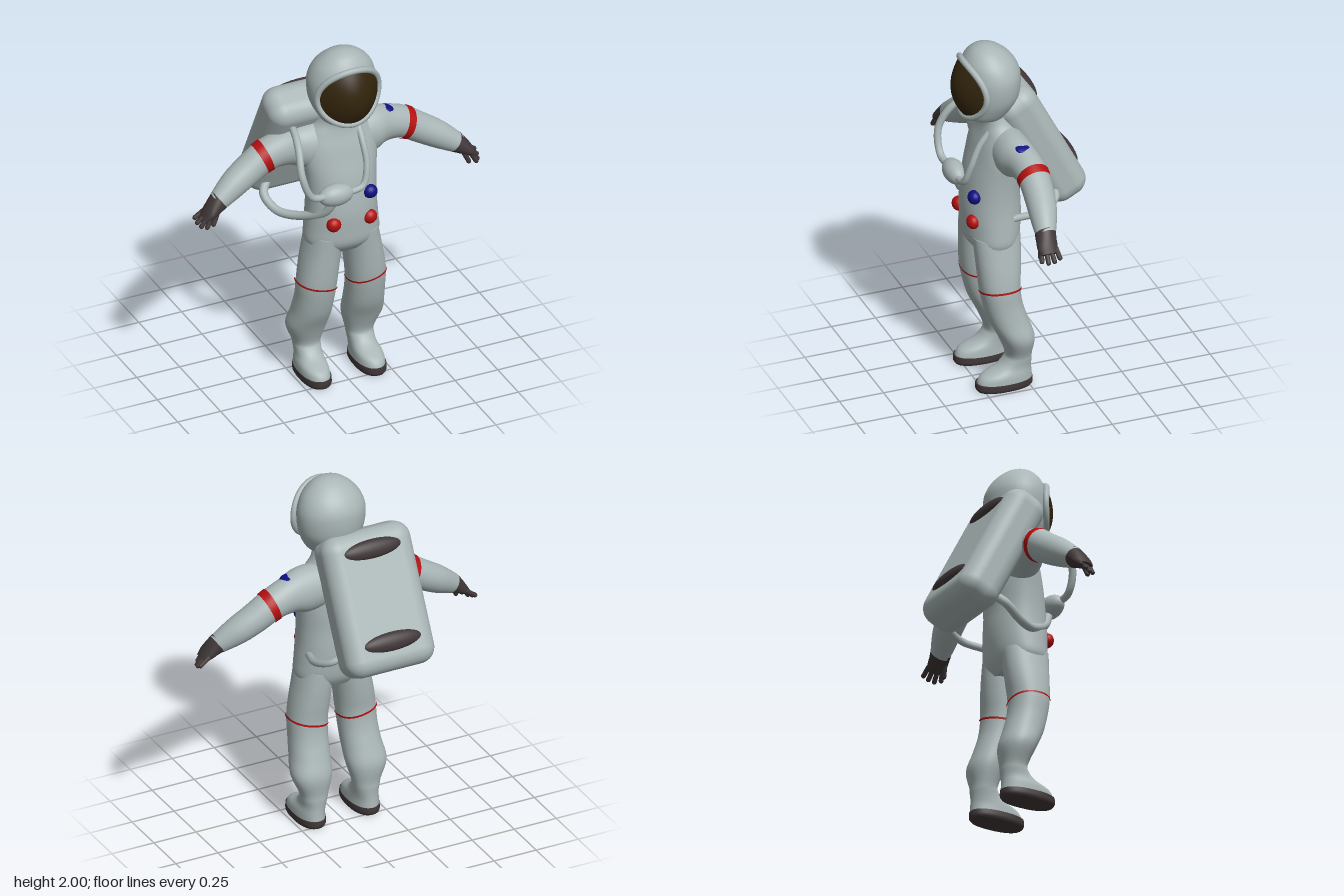
import * as THREE from 'three';
import { RoundedBoxGeometry } from 'three/addons/geometries/RoundedBoxGeometry.js';

const mat = (name, color) => Object.assign(new THREE.MeshStandardMaterial({ color }), { name });

// Smoothly interpolated cross-section; ring = [x, y, z, depth radius, width radius, direction in degrees]
function sample(rings, t) {
  const n = rings.length - 1, f = t * n, i = Math.min(Math.floor(f), n - 1), k = f - i;
  const at = (j) => rings[Math.max(0, Math.min(n, j))];
  return rings[i].map((b, q) => {
    const a = at(i - 1)[q], c = at(i + 1)[q], d = at(i + 2)[q];
    return b + 0.5 * k * (c - a + k * (2 * a - 5 * b + 4 * c - d + k * (3 * (b - c) + d - a)));
  });
}

// Skin over oval cross-sections, with optional flat end caps
function loft(rings, { from = 0, to = 1, grow = 0, caps = true, power = 1, steps = (rings.length - 1) * 4 } = {}) {
  const N = 40, pos = [], idx = [];
  const bend = (v) => Math.sign(v) * Math.abs(v) ** power;
  const addRing = (t) => {
    const [x, y, z, rz, rw, deg] = sample(rings, t), a = THREE.MathUtils.degToRad(deg);
    for (let j = 0; j < N; j++) {
      const s = (j / N) * Math.PI * 2, w = (rw + grow) * bend(Math.sin(s));
      pos.push(x + Math.sin(a) * w, y - Math.cos(a) * w, z + (rz + grow) * bend(Math.cos(s)));
    }
  };
  for (let i = 0; i <= steps; i++) addRing(from + (to - from) * i / steps);
  for (let i = 0; i < steps; i++) for (let j = 0; j < N; j++) {
    const a = i * N + j, b = i * N + (j + 1) % N;
    idx.push(a, b, a + N, b, b + N, a + N);
  }
  if (caps) for (const t of [from, to]) {
    const start = pos.length / 3;
    addRing(t);
    pos.push(...sample(rings, t).slice(0, 3));
    for (let j = 0; j < N; j++) {
      const a = start + j, b = start + (j + 1) % N;
      idx.push(start + N, ...(t === from ? [b, a] : [a, b]));
    }
  }
  const g = new THREE.BufferGeometry();
  g.setAttribute('position', new THREE.Float32BufferAttribute(pos, 3));
  g.setIndex(idx);
  g.computeVertexNormals();
  return g;
}

// Upright section: height, x, z, depth radius, width radius
const up = ([y, x, z, rz, rw]) => [x, y, z, rz, rw, 90];
const mirror = (rings, s) => rings.map(([x, y, z, rz, rw, a]) => [x * s, y, z, rz, rw, s > 0 ? a : 180 - a]);

export function createModel() {
  const model = new THREE.Group();
  model.name = 'astronaut';
  const suit = mat('suitGrey', 0xaab6b6), dark = mat('darkGrey', 0x403737), red = mat('red', 0xb50f0f);
  const blue = mat('blue', 0x0f0f85), gold = mat('visorBrown', 0x33250c);

  const add = (name, geo, material, parent = model) => {
    const m = new THREE.Mesh(geo, material);
    m.name = name;
    parent.add(m);
    return m;
  };
  const ball = (name, p, r, material, parent) => {
    const m = add(name, new THREE.SphereGeometry(1, 32, 20), material, parent);
    m.position.set(...p);
    m.scale.set(...r);
    return m;
  };
  const tube = (name, pts, r) => add(name, new THREE.TubeGeometry(
    new THREE.CatmullRomCurve3(pts.map((p) => new THREE.Vector3(...p))), 48, r, 12), suit);

  // Torso and neck
  add('torso', loft([
    [0.8, 0, 0.15, 0.1, 0.165], [0.86, 0, 0.153, 0.14, 0.208], [0.95, 0, 0.15, 0.152, 0.204],
    [1.05, 0, 0.15, 0.155, 0.195], [1.15, 0, 0.148, 0.147, 0.194], [1.25, 0, 0.14, 0.14, 0.2],
    [1.35, 0, 0.13, 0.125, 0.21], [1.43, 0, 0.12, 0.115, 0.205], [1.5, 0, 0.115, 0.1, 0.175],
    [1.56, 0, 0.12, 0.09, 0.125], [1.64, 0, 0.14, 0.09, 0.1],
  ].map(up), { power: 0.92 }), suit);

  // Helmet shell
  add('helmet', loft([
    [1.575, 0, 0.17, 0.09, 0.09], [1.6, 0, 0.18, 0.12, 0.125], [1.66, 0, 0.166, 0.144, 0.16],
    [1.72, 0, 0.154, 0.158, 0.181], [1.8, 0, 0.15, 0.161, 0.189], [1.86, 0, 0.151, 0.154, 0.18],
    [1.92, 0, 0.16, 0.13, 0.15], [1.97, 0, 0.17, 0.085, 0.097], [1.993, 0, 0.174, 0.042, 0.048],
    [2, 0, 0.175, 0.006, 0.006],
  ].map(up)), suit);

  // Curved visor and its rim
  const visorPoint = (x, y) => [0.17 * x, 1.765 + 0.155 * y, 0.362 - 0.115 * x * x - 0.055 * y * y];
  const visor = new THREE.RingGeometry(0, 1, 48, 12);
  const vp = visor.attributes.position;
  for (let i = 0; i < vp.count; i++) vp.setXYZ(i, ...visorPoint(vp.getX(i), vp.getY(i)));
  visor.computeVertexNormals();
  add('visor', visor, gold);
  const rim = Array.from({ length: 32 }, (_, i) => {
    const a = (i / 32) * Math.PI * 2;
    return new THREE.Vector3(...visorPoint(1.05 * Math.cos(a), 1.05 * Math.sin(a)));
  });
  add('visorRim', new THREE.TubeGeometry(new THREE.CatmullRomCurve3(rim, true), 96, 0.017, 10, true), suit);

  const armRings = [
    [0.05, 1.42, 0.095, 0.1, 0.12, 0], [0.2, 1.41, 0.09, 0.105, 0.13, -8], [0.3, 1.41, 0.07, 0.09, 0.102, -14],
    [0.4, 1.385, 0.06, 0.085, 0.088, -20], [0.5, 1.325, 0.065, 0.082, 0.082, -28],
    [0.6, 1.265, 0.08, 0.075, 0.075, -29], [0.7, 1.2, 0.105, 0.055, 0.055, -33],
  ];
  const palmRings = [
    [0.685, 1.21, 0.103, 0.058, 0.058, -36], [0.72, 1.184, 0.112, 0.056, 0.046, -40],
    [0.755, 1.155, 0.118, 0.056, 0.032, -42], [0.785, 1.13, 0.118, 0.046, 0.018, -44],
  ];
  const legRings = [
    [0.035, 0.16, 0.13, 0.154, 0.078], [0.08, 0.16, 0.12, 0.14, 0.076], [0.12, 0.156, 0.078, 0.097, 0.07],
    [0.16, 0.155, 0.055, 0.076, 0.073], [0.2, 0.155, 0.05, 0.071, 0.08], [0.3, 0.162, 0.065, 0.095, 0.112],
    [0.4, 0.153, 0.105, 0.105, 0.108], [0.5, 0.147, 0.135, 0.105, 0.105], [0.6, 0.142, 0.15, 0.109, 0.107],
    [0.7, 0.13, 0.15, 0.118, 0.105], [0.8, 0.115, 0.15, 0.125, 0.1], [0.9, 0.1, 0.153, 0.13, 0.095],
  ].map(up);
  const soleRings = [
    [0, 0.16, 0.132, 0.15, 0.073], [0.015, 0.16, 0.132, 0.158, 0.08], [0.045, 0.16, 0.132, 0.157, 0.079],
  ].map(up);
  const stripeRings = [[0.145, 0.582, 0.148, 0.108, 0.111, 102], [0.143, 0.593, 0.149, 0.109, 0.111, 102]];
  // Finger start and tip, thumb last
  const fingers = [
    [[0.765, 1.15, 0.075], [0.815, 1.115, 0.072]], [[0.77, 1.14, 0.103], [0.815, 1.1, 0.102]],
    [[0.77, 1.135, 0.13], [0.805, 1.09, 0.132]], [[0.76, 1.14, 0.155], [0.785, 1.095, 0.162]],
    [[0.715, 1.165, 0.145], [0.745, 1.1, 0.155]],
  ];

  for (const [side, s] of [['left', 1], ['right', -1]]) {
    // Sleeve, band and glove
    const arm = mirror(armRings, s);
    add(side + 'Arm', loft(arm), suit);
    add(side + 'ArmBand', loft(arm, { from: 0.492, to: 0.555, grow: 0.004, caps: false, steps: 6 }), red);
    const glove = new THREE.Group();
    glove.name = side + 'Glove';
    model.add(glove);
    add('palm', loft(mirror(palmRings, s)), dark, glove);
    fingers.forEach(([a, b], i) => {
      const p = new THREE.Vector3(a[0] * s, a[1], a[2]), q = new THREE.Vector3(b[0] * s, b[1], b[2]);
      const f = add(i < 4 ? 'finger' : 'thumb', new THREE.CapsuleGeometry(0.013, p.distanceTo(q), 6, 12), dark, glove);
      f.position.copy(p).lerp(q, 0.5);
      f.quaternion.setFromUnitVectors(new THREE.Vector3(0, 1, 0), q.sub(p).normalize());
    });
    // Leg, knee stripe and sole
    add(side + 'Leg', loft(mirror(legRings, s), { power: 0.9 }), suit);
    add(side + 'KneeStripe', loft(mirror(stripeRings, s), { grow: 0.003, caps: false, power: 0.9 }), red);
    add(side + 'Sole', loft(mirror(soleRings, s), { power: 0.85 }), dark);
    ball(side + 'RedButton', [0.105 * s, 1.0, 0.285], [0.04, 0.04, 0.035], red);
  }
  ball('blueButton', [0.11, 1.15, 0.28], [0.04, 0.038, 0.035], blue);
  ball('shoulderPatch', [0.3, 1.506, 0.08], [0.038, 0.012, 0.04], blue).rotation.z = -0.25;

  // Tilted backpack with two oval pads
  const pack = new THREE.Group();
  pack.name = 'backpack';
  pack.position.set(-0.12, 1.365, -0.115);
  pack.rotation.x = THREE.MathUtils.degToRad(27.4);
  model.add(pack);
  add('packShell', new RoundedBoxGeometry(0.52, 0.77, 0.24, 8, 0.09), suit, pack);
  for (const y of [0.275, -0.225]) ball('packPad', [0, y, -0.112], [0.172, 0.052, 0.034], dark, pack);

  // Chest unit and hoses
  ball('chestUnit', [-0.105, 1.2, 0.31], [0.1, 0.062, 0.057], suit);
  tube('rightShoulderHose', [[-0.14, 1.21, 0.32], [-0.25, 1.23, 0.33], [-0.305, 1.36, 0.32], [-0.29, 1.49, 0.24],
    [-0.265, 1.54, 0.12], [-0.25, 1.5, -0.02]], 0.02);
  tube('leftShoulderHose', [[-0.04, 1.2, 0.32], [0.05, 1.22, 0.315], [0.085, 1.32, 0.29], [0.085, 1.44, 0.24],
    [0.085, 1.53, 0.17]], 0.018);
  tube('rightLowerHose', [[-0.1, 1.17, 0.3], [-0.14, 1.07, 0.25], [-0.21, 1.0, 0.13], [-0.3, 0.985, 0],
    [-0.33, 1.04, -0.1], [-0.28, 1.1, -0.16]], 0.024);
  tube('leftLowerHose', [[0.08, 1.12, -0.18], [0.16, 1.08, -0.16], [0.2, 1.04, -0.06], [0.17, 1.01, 0.08]], 0.02);
  return model;
}
